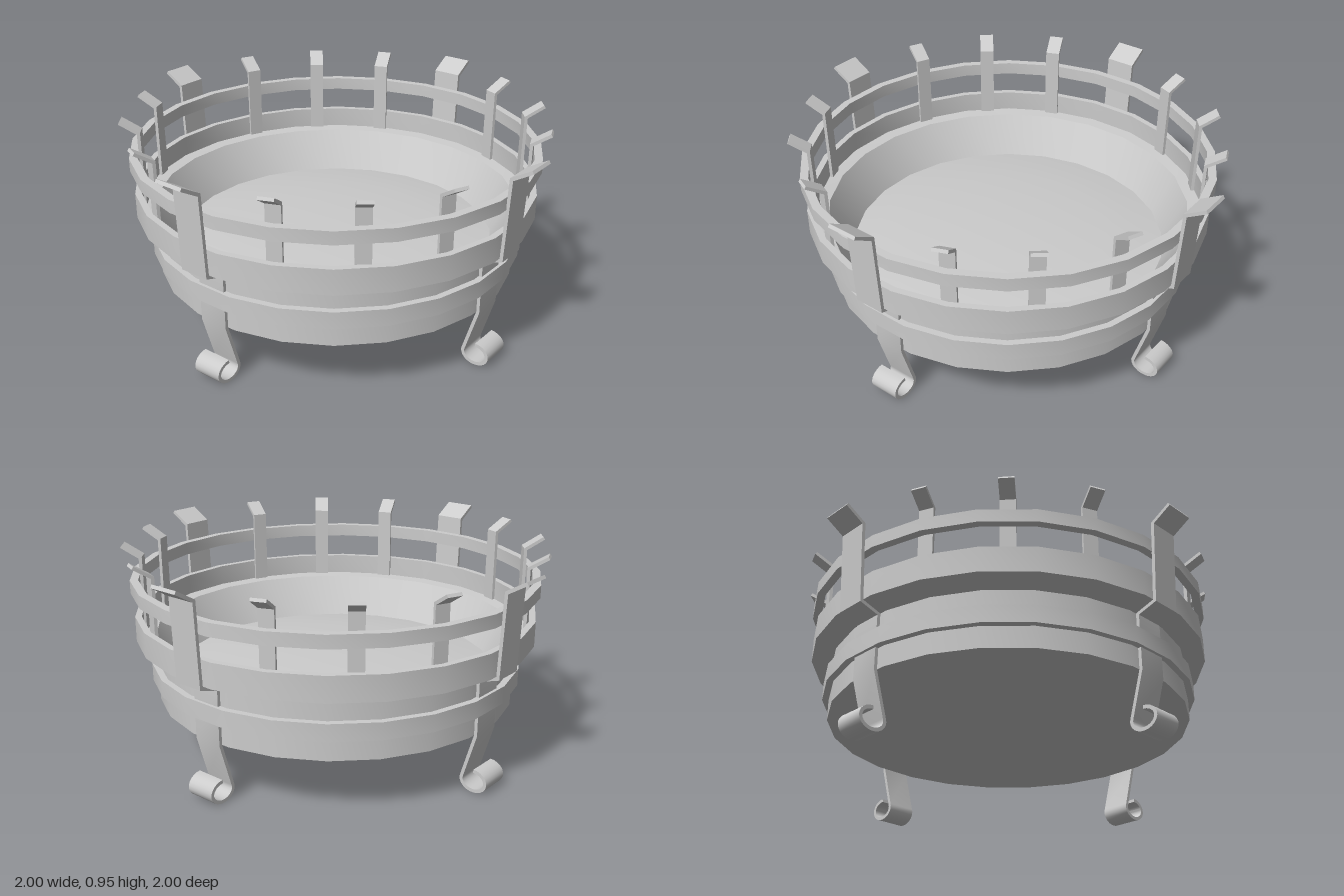
import * as THREE from 'three';
import { toCreasedNormals } from 'three/addons/utils/BufferGeometryUtils.js';

const SIDES = 24;
const material = new THREE.MeshStandardMaterial({ color: 0xcccccc });

// Many-sided turned part; profile is [distance to flat, y], flats face the axes
function turned(name, profile) {
  const k = 1 / Math.cos(Math.PI / SIDES);
  const points = profile.map(([r, y]) => new THREE.Vector2(r * k, y));
  const geometry = new THREE.LatheGeometry(points, SIDES, Math.PI / SIDES);
  const mesh = new THREE.Mesh(toCreasedNormals(geometry, 0.6), material);
  mesh.name = name;
  return mesh;
}

// Plain hoop with a rectangular section
function hoop(name, inner, outer, y0, y1) {
  return turned(name, [[inner, y0], [outer, y0], [outer, y1], [inner, y1], [inner, y0]]);
}

// Flat metal strip following a path in the radius/height plane
function stripGeometry(path, width, thickness) {
  const pts = path.map(([r, y]) => new THREE.Vector2(r, y));
  const normal = (a, b) => {
    const d = b.clone().sub(a).normalize();
    return new THREE.Vector2(-d.y, d.x);
  };
  const near = [], far = [];
  const last = pts.length - 1;
  pts.forEach((p, i) => {
    const n0 = normal(pts[Math.max(i - 1, 0)], pts[Math.max(i, 1)]);
    const n1 = normal(pts[Math.min(i, last - 1)], pts[Math.min(i + 1, last)]);
    const m = n0.clone().add(n1).normalize();
    m.multiplyScalar(thickness / 2 / m.dot(n1));
    near.push(p.clone().add(m));
    far.unshift(p.clone().sub(m));
  });
  const geometry = new THREE.ExtrudeGeometry(new THREE.Shape([...near, ...far]), {
    depth: width, bevelEnabled: false,
  });
  geometry.translate(0, 0, -width / 2);
  return toCreasedNormals(geometry, 0.45);
}

export function createModel() {
  const group = new THREE.Group();

  // Bowl with a stepped rim
  group.add(turned('bowl', [
    [0, 0.205], [0.4, 0.205], [0.795, 0.262], [0.795, 0.512], [0.883, 0.542],
    [0.883, 0.653], [0.855, 0.653], [0.855, 0.56], [0.8, 0.555],
    [0.66, 0.3], [0.4, 0.26], [0, 0.26],
  ]));

  // Gently domed bed that fills the bowl and meets its sloping wall
  group.add(turned('bed', [
    [0.72, 0.372], [0.6, 0.39], [0.45, 0.405], [0.25, 0.416], [0, 0.42],
  ]));

  // Hoops around the bowl and above the rim
  group.add(hoop('lowerBand', 0.79, 0.823, 0.356, 0.432));
  group.add(hoop('topRing', 0.86, 0.895, 0.76, 0.817));

  // Four long straps that end in curled feet
  const legPath = [[0.995, 0.945], [0.907, 0.893], [0.89, 0.535], [0.802, 0.507], [0.802, 0.26]];
  const steps = 18;
  for (let i = 0; i <= steps; i++) {
    const a = THREE.MathUtils.degToRad(162 + (288 * i) / steps);
    legPath.push([0.8 + 0.058 * Math.cos(a), 0.054 + 0.045 * Math.sin(a)]);
  }
  const legGeometry = stripGeometry(legPath, 0.135, 0.015);

  // Short uprights inside the top ring, with tips bent outwards
  const barRadius = 0.848;
  const barGeometry = stripGeometry([[0, 0.56], [0.003, 0.893], [0.083, 0.943]], 0.065, 0.014);

  for (let i = 0; i < 16; i++) {
    const angle = (i * Math.PI) / 8;
    const isLeg = i % 4 === 0;
    const mesh = new THREE.Mesh(isLeg ? legGeometry : barGeometry, material);
    mesh.name = isLeg ? 'legStrap' : 'uprightBar';
    mesh.rotation.y = angle;
    if (!isLeg) mesh.position.set(barRadius * Math.cos(angle), 0, -barRadius * Math.sin(angle));
    // The middle bar of each quarter is turned slightly
    if (i % 4 === 2) mesh.rotation.y -= 0.09;
    group.add(mesh);
  }
  return group;
}
